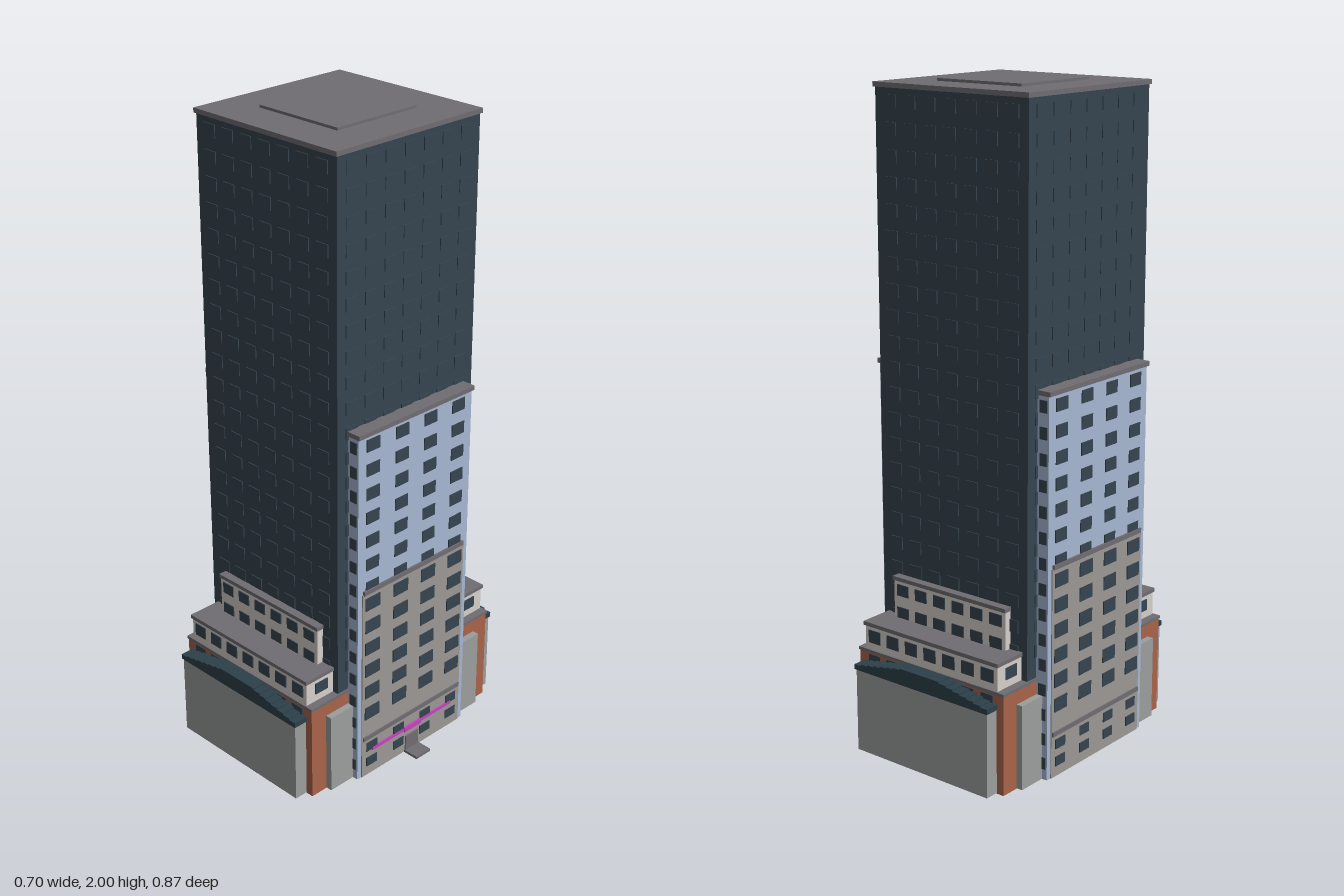
import * as THREE from 'three';

const mat = (name, color) => Object.assign(new THREE.MeshStandardMaterial({ color }), { name });

export function createModel() {
  const glass = mat('charcoal glass', 0x36454f);
  const roof = mat('roof grey', 0x6f6d72);
  const blue = mat('pale blue wall', 0xa6b8d2);
  const stone = mat('warm grey stone', 0x9b9894);
  const concrete = mat('concrete grey', 0x9c9d9d);
  const white = mat('off white wall', 0xd6cfcc);
  const brick = mat('brick', 0xa8644a);
  const marquee = mat('dark slate roof', 0x2c404a);
  const magenta = mat('magenta trim', 0xc840c0);

  const model = new THREE.Group();
  const CX = -0.025; // the building axis

  // Box given by its lower and upper bounds
  function box(name, m, x0, x1, y0, y1, z0, z1, parent = model) {
    const mesh = new THREE.Mesh(new THREE.BoxGeometry(x1 - x0, y1 - y0, z1 - z0), m);
    mesh.position.set((x0 + x1) / 2, (y0 + y1) / 2, (z0 + z1) / 2);
    mesh.name = name;
    parent.add(mesh);
    return mesh;
  }
  // Box centred on the building axis: half widths in x and z
  const block = (name, m, hx, hz, y0, y1) => box(name, m, CX - hx, CX + hx, y0, y1, -hz, hz);

  // Window grids on both opposite faces: axis is the facing direction
  function windows(name, axis, face, columns, rows, w, h, t = 0.006) {
    const group = new THREE.Group();
    group.name = name;
    for (const side of [-1, 1]) for (const c of columns) for (const y of rows) {
      const f = side * face;
      if (axis === 'z') box('window', glass, CX + c - w / 2, CX + c + w / 2, y - h / 2, y + h / 2, f - t / 2, f + t / 2, group);
      else box('window', glass, CX + f - t / 2, CX + f + t / 2, y - h / 2, y + h / 2, c - w / 2, c + w / 2, group);
    }
    model.add(group);
  }
  const spread = (n, step) => Array.from({ length: n }, (_, i) => (i - (n - 1) / 2) * step);
  const down = (start, n, step = 0.077) => Array.from({ length: n }, (_, i) => start - i * step);

  // Main tower with roof slab
  block('tower', glass, 0.277, 0.277, 0.01, 1.98);
  block('towerRoof', roof, 0.282, 0.283, 1.978, 1.992);
  block('roofPlatform', roof, 0.153, 0.153, 1.99, 2.0);
  windows('towerWindowsFrontBack', 'z', 0.277, spread(7, 0.074), down(1.94, 21), 0.045, 0.038);
  windows('towerWindowsSides', 'x', 0.277, spread(7, 0.074), down(1.94, 21), 0.045, 0.038);

  // Pale side wings
  const bays = spread(4, 0.118);
  block('wing', blue, 0.318, 0.235, 0.002, 1.165);
  block('wingCornice', roof, 0.325, 0.239, 1.163, 1.177);
  windows('wingWindows', 'x', 0.318, bays, down(1.132, 7), 0.052, 0.038);
  windows('wingEndWindows', 'z', 0.235, [-0.3, 0.3], down(1.132, 15), 0.026, 0.036);

  // Stone lower facade on each wing, with cornices
  block('stoneFacade', stone, 0.321, 0.218, 0.002, 0.652);
  block('stoneCornice', roof, 0.325, 0.214, 0.65, 0.664);
  block('stoneBaseCornice', roof, 0.325, 0.214, 0.133, 0.147);
  windows('stoneWindows', 'x', 0.321, bays, down(0.615, 6), 0.06, 0.042);
  windows('streetWindows', 'x', 0.321, bays, [0.105, 0.05], 0.045, 0.03);

  // Concrete piers behind the wings
  block('sidePiers', concrete, 0.3, 0.328, 0.002, 0.265);

  // Brick podium
  block('podium', brick, 0.279, 0.387, 0, 0.31);
  block('podiumRoof', roof, 0.282, 0.39, 0.308, 0.317);
  windows('podiumWindows', 'z', 0.387, spread(7, 0.073), [0.29], 0.045, 0.026);

  // White setback tiers above the podium
  block('lowerTier', white, 0.256, 0.385, 0.315, 0.395);
  block('lowerTierRoof', roof, 0.26, 0.39, 0.392, 0.404);
  windows('lowerTierWindows', 'z', 0.385, spread(7, 0.073), [0.36], 0.046, 0.04);
  windows('lowerTierEndWindows', 'x', 0.256, [-0.325, 0.325], [0.36], 0.05, 0.036);
  block('upperTier', white, 0.215, 0.3, 0.4, 0.524);
  block('upperTierRoof', roof, 0.218, 0.304, 0.521, 0.533);
  windows('upperTierWindows', 'z', 0.3, spread(6, 0.072), [0.492, 0.42], 0.045, 0.036);

  // Front and back halls with stepped dark roofs
  block('halls', concrete, 0.254, 0.431, 0.002, 0.268);
  for (const side of [-1, 1]) {
    const group = new THREE.Group();
    group.name = side > 0 ? 'frontHallRoof' : 'backHallRoof';
    const [z0, z1] = side > 0 ? [0.384, 0.435] : [-0.435, -0.384];
    for (let i = 0; i < 8; i++) {
      const half = 0.258 - i * 0.0258;
      box('roofStep', marquee, CX - half, CX + half, 0.264 + (i ? 0.012 : 0), 0.28 + i * 0.005, z0, z1, group);
    }
    model.add(group);
  }

  // Entrance on the model's left: door, step and magenta trim
  box('door', roof, 0.28, 0.3, 0.002, 0.06, -0.028, 0.028);
  box('entranceStep', roof, 0.28, 0.35, 0.001, 0.009, -0.031, 0.031);
  box('trimStrip', magenta, 0.292, 0.3005, 0.085, 0.095, -0.175, 0.175);
  box('trimSign', magenta, 0.294, 0.303, 0.081, 0.096, -0.036, 0.036);
  return model;
}
